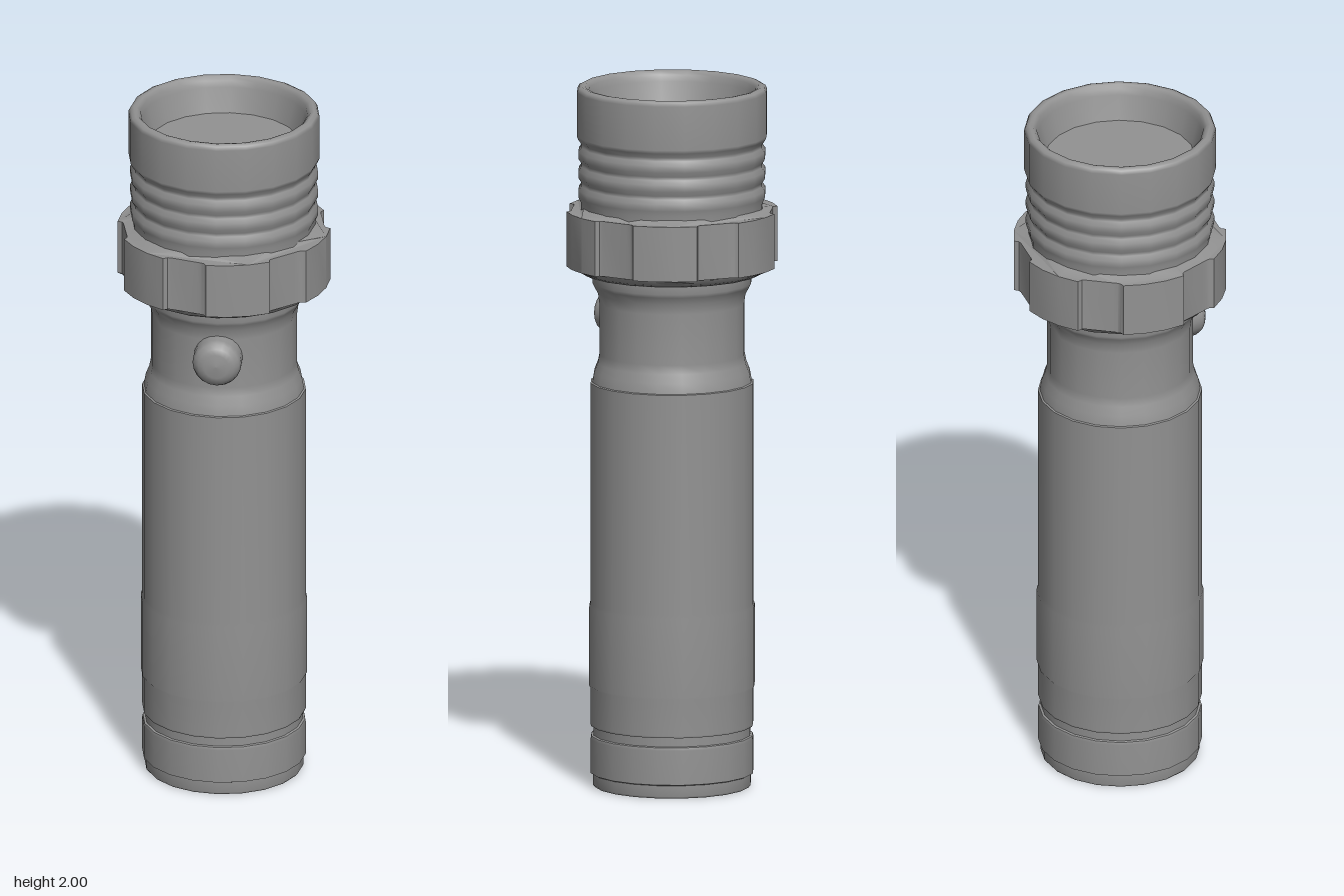
import * as THREE from 'three';
import { mergeGeometries, toCreasedNormals } from 'three/addons/utils/BufferGeometryUtils.js';

const SIDES = 20;
const CREASE = 0.8;
const material = new THREE.MeshStandardMaterial({ color: 0x929292, side: THREE.DoubleSide });

function addMesh(group, name, geometry) {
  const mesh = new THREE.Mesh(geometry, material);
  mesh.name = name;
  group.add(mesh);
  return mesh;
}

// Revolve [radius, height] pairs around the y axis, smooth except where the profile turns sharply
function lathe(profile) {
  const points = profile.map(([r, y]) => new THREE.Vector2(r, y));
  const sections = [];
  let start = 0;
  for (let i = 1; i < points.length; i++) {
    const last = i === points.length - 1;
    const before = points[i].clone().sub(points[i - 1]);
    if (last || before.angleTo(points[i + 1].clone().sub(points[i])) > CREASE) {
      const section = new THREE.LatheGeometry(points.slice(start, i + 1), SIDES);
      section.normalizeNormals();
      sections.push(section);
      start = i;
    }
  }
  return mergeGeometries(sections);
}

export function createModel() {
  const group = new THREE.Group();
  group.name = 'flashlight';

  // Tail cap with a stepped foot and a groove above it
  addMesh(group, 'tailCap', lathe([
    [0, 0], [0.219, 0], [0.224, 0.006], [0.224, 0.037], [0.231, 0.04],
    [0.231, 0.138], [0.229, 0.146], [0.223, 0.148], [0.223, 0.175],
  ]));

  // Barrel, very slightly swollen low down
  addMesh(group, 'barrel', lathe([
    [0.223, 0.173], [0.229, 0.174], [0.231, 0.18], [0.231, 0.284], [0.235, 0.29],
    [0.235, 0.515], [0.231, 0.525], [0.231, 1.154], [0.226, 1.156],
  ]));

  // Narrow neck with a flare at each end
  addMesh(group, 'neck', lathe([
    [0.226, 1.156], [0.221, 1.185], [0.211, 1.21], [0.206, 1.235], [0.206, 1.38],
    [0.21, 1.41], [0.221, 1.43], [0.226, 1.44], [0.226, 1.464], [0.25, 1.466],
  ]));

  // Domed switch button on the front of the neck
  const button = addMesh(group, 'switchButton', lathe([
    [0.069, 0.17], [0.069, 0.238], [0.063, 0.252], [0.051, 0.263], [0.035, 0.269], [0, 0.272],
  ]));
  button.geometry.rotateX(Math.PI / 2);
  button.position.y = 1.325;

  // Grip ring with six lobes: [angle in degrees, radius] for one lobe and its notch
  const lobe = [
    [0, 0.3], [11.7, 0.3], [23.4, 0.3], [35, 0.3], [36.3, 0.289],
    [38, 0.285], [41, 0.283], [57, 0.283], [58.8, 0.287],
  ];
  const outline = [];
  for (let i = 0; i < 6; i++) {
    for (const [degrees, r] of lobe) {
      const a = THREE.MathUtils.degToRad(degrees + i * 60);
      outline.push(new THREE.Vector2(r * Math.cos(a), r * Math.sin(a)));
    }
  }
  const shape = new THREE.Shape(outline);
  shape.holes.push(new THREE.Path().absarc(0, 0, 0.25, 0, Math.PI * 2, true));
  const ring = new THREE.ExtrudeGeometry(shape, {
    depth: 0.19, bevelEnabled: false, curveSegments: SIDES / 2,
  });
  ring.rotateX(Math.PI / 2).translate(0, 1.66, 0);
  // Slope the top and bottom of the ring away from its bore
  const position = ring.attributes.position;
  for (let i = 0; i < position.count; i++) {
    if (Math.hypot(position.getX(i), position.getZ(i)) > 0.26) {
      position.setY(i, position.getY(i) > 1.565 ? 1.647 : 1.49);
    }
  }
  addMesh(group, 'gripRing', toCreasedNormals(ring, 0.6));

  // Collar under the grip ring
  addMesh(group, 'ringCollar', lathe([
    [0.226, 1.466], [0.25, 1.467], [0.266, 1.474], [0.274, 1.488],
  ]));

  // Head: ribbed lower part, plain bezel, rounded rim and sloping inner wall
  const head = [[0.258, 1.63], [0.258, 1.67]];
  for (let i = 0; i < 3; i++) {
    const y = 1.685 + i * 0.055;
    head.push([0.265, y], [0.266, y + 0.02], [0.257, y + 0.032], [0.257, y + 0.042]);
  }
  head.push(
    [0.266, 1.85], [0.27, 1.86], [0.27, 1.985], [0.265, 1.995], [0.255, 2],
    [0.245, 1.998], [0.236, 1.988], [0.232, 1.97], [0.211, 1.9],
  );
  addMesh(group, 'head', lathe(head));

  // Flat lens sunk into the head
  addMesh(group, 'lens', lathe([[0.211, 1.9], [0, 1.9]]));

  return group;
}
